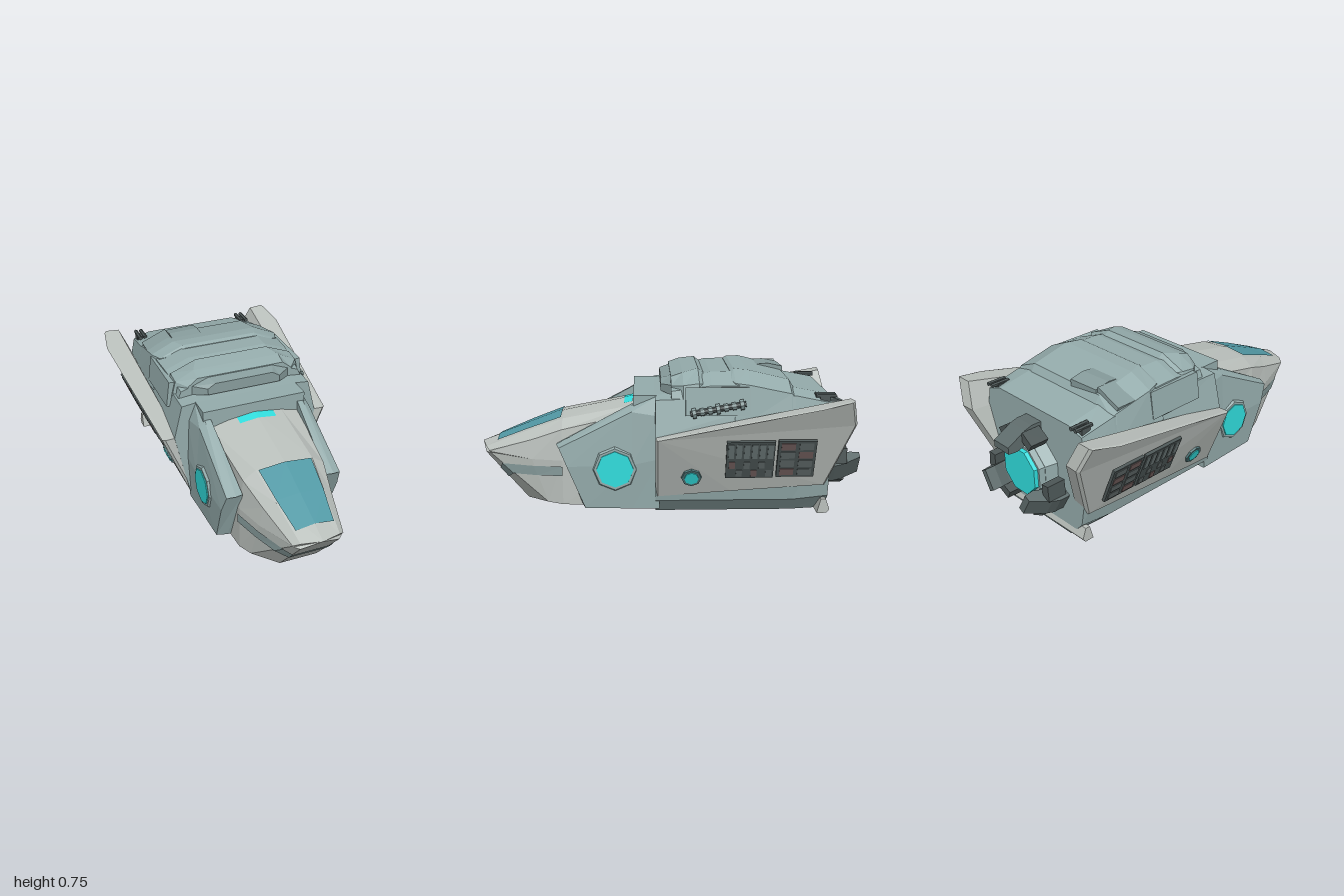
import * as THREE from 'three';

const HULL = 0x94abab, NOSE = 0xbac0bc, PLATE = 0x879c9c, DARK = 0x4d5757, CYAN = 0x30dcdc, GLASS = 0x5299a5;
const CELL = 0x626c6c, WARM = 0x735f5e;

const paint = (color, side = THREE.FrontSide) => new THREE.MeshStandardMaterial({ color, flatShading: true, side });

function add(parent, name, geometry, color, pos = [0, 0, 0], side) {
  const mesh = new THREE.Mesh(geometry, paint(color, side));
  mesh.name = name;
  mesh.position.set(...pos);
  parent.add(mesh);
  return mesh;
}

const box = (parent, name, size, pos, color) => add(parent, name, new THREE.BoxGeometry(...size), color, pos);

// Skin over rings of [x, y, z]; each ring runs clockwise seen from the first end.
function loft(rings, capped = true) {
  const n = rings[0].length, last = (rings.length - 1) * n, index = [];
  for (let i = 0; i < rings.length - 1; i++) {
    for (let j = 0; j < (capped ? n : n - 1); j++) {
      const a = i * n + j, b = i * n + (j + 1) % n;
      index.push(a, b, a + n, b, b + n, a + n);
    }
  }
  for (let j = 1; capped && j < n - 1; j++) {
    index.push(0, j + 1, j, last, last + j, last + j + 1);
  }
  const g = new THREE.BufferGeometry();
  g.setAttribute('position', new THREE.Float32BufferAttribute(rings.flat(2), 3));
  g.setIndex(index);
  const flat = g.toNonIndexed();
  flat.computeVertexNormals();
  return flat;
}

// Full ring from its +x half, listed top to bottom.
const mirror = half => [...half, ...half.filter(p => p[0] > 0).reverse().map(([x, y, z]) => [-x, y, z])];
const section = (z, pts) => mirror(pts.map(([x, y]) => [x, y, z]));

function octagon(parent, name, r0, r1, depth, pos, color) {
  const g = new THREE.CylinderGeometry(r1, r0, depth, 8).rotateZ(-Math.PI / 2);
  return add(parent, name, g, color, pos);
}

function buildNose(parent) {
  const nose = new THREE.Group();
  nose.name = 'nose';
  parent.add(nose);
  const halves = [
    [[0, .325, 1], [.1, .317, .97], [.13, .3, .95], [.13, .295, .945], [.125, .29, .945], [.1, .287, .97]],
    [[0, .415, .76], [.125, .405, .75], [.18, .37, .72], [.197, .27, .72], [.205, .04, .64], [.1, .035, .755]],
    [[0, .49, .56], [.15, .475, .56], [.215, .43, .56], [.235, .27, .56], [.235, .035, .56], [.1, .03, .56]],
    [[0, .565, .19], [.15, .545, .19], [.245, .52, .19], [.255, .27, .19], [.25, .03, .19], [.1, .03, .19]],
    [[0, .6, .04], [.15, .6, .04], [.245, .57, .04], [.255, .27, .04], [.25, .03, .04], [.1, .03, .04]],
  ];
  add(nose, 'noseShell', loft(halves.map(mirror)), NOSE);

  // Windshield and brow light
  const rows = [[.14, .477, .491, .57], [.123, .413, .424, .745], [.098, .347, .361, .91]];
  const pane = rows.map(([x, ye, yc, z]) => [[-x, ye, z], [0, yc, z], [x, ye, z]]);
  add(nose, 'windshield', loft(pane, false), GLASS, [0, .003, 0], THREE.DoubleSide);
  const light = [[-.1, .552, .195], [0, .564, .195], [.1, .552, .195]];
  add(nose, 'browLight', loft([light, light.map(([x, y]) => [x, y - .01, .24])], false), CYAN, [0, .003, 0], THREE.DoubleSide);

  // Darker stripe wrapped round the chin
  const upper = [[.1, .2, .896], [.143, .235, .878], [.199, .235, .708], [.238, .24, .555]];
  const lower = [[.1, .15, .853], [.16, .185, .819], [.201, .185, .69], [.238, .19, .555]];
  const band = half => [...[...half].reverse().map(([x, y, z]) => [-x, y, z]), ...half]
    .map(([x, y, z]) => [x * 1.02, y, z + .004]);
  add(nose, 'chinStripe', loft([band(upper), band(lower)], false), PLATE, [0, 0, 0], THREE.DoubleSide);
}

// Cheek armour beside the nose, with its round lamp
function buildCheek(side) {
  const at = (z, pts) => pts.map(([x, y]) => [x, y, z]);
  add(side, 'cheek', loft([
    [[.225, .365, .58], [.262, .365, .587], [.305, .355, .57], [.318, .26, .53], [.312, .04, .44], [.258, .04, .455], [.225, .04, .455]],
    at(.2, [[.24, .57], [.272, .568], [.305, .54], [.328, .27], [.315, .035], [.26, .035], [.24, .035]]),
    at(.06, [[.25, .62], [.28, .62], [.32, .52], [.332, .3], [.32, .035], [.26, .035], [.24, .035]]),
  ]), HULL);
  octagon(side, 'cheekLampBezel', .125, .108, .024, [.318, .248, .285], HULL);
  octagon(side, 'cheekLamp', .098, .094, .026, [.322, .248, .285], CYAN);
}

// Slanted side fin with grilles and a small lamp
function buildFin(side) {
  const outline = [[.08, .43], [-.74, .6], [-.885, .63], [-.915, .5], [-.785, .16], [-.3, .13], [.08, .1]];
  const face = y => .33 + .4 * (y - .1);
  const ring = (depth, scale) => outline.map(([z, y]) => {
    const v = .35 + (y - .35) * scale;
    const bend = Math.max(0, -.74 - z) * .25;
    return [face(v) - depth - bend, v, -.4 + (z + .4) * scale];
  });
  add(side, 'fin', loft([ring(-.003, .975), ring(.012, 1), ring(.085, .99)]), NOSE);

  const details = new THREE.Group();
  details.name = 'finDetails';
  details.position.set(face(.32), .32, 0);
  details.rotation.z = -Math.atan(.4);
  side.add(details);
  box(details, 'grilleFront', [.016, .22, .24], [0, 0, -.39], DARK);
  box(details, 'grilleRear', [.016, .22, .19], [0, .005, -.62], DARK);
  for (let i = 0; i < 6; i++) {
    box(details, 'grilleBar', [.024, .085, .028], [0, .055, -.293 - i * .039], 0x6d7a7a);
    box(details, 'grilleBlock', [.022, .04, .03], [0, -.03 - (i % 2) * .05, -.3 - i * .037], i % 3 ? CELL : WARM);
  }
  for (let i = 0; i < 8; i++) {
    box(details, 'grilleCell', [.022, .04, .07], [0, .083 - (i >> 1) * .052, -.575 - (i % 2) * .09], i % 3 ? CELL : WARM);
  }
  octagon(details, 'finLampBezel', .055, .05, .02, [.003, -.107, -.1], 0x4f7577);
  octagon(details, 'finLamp', .04, .036, .026, [.004, -.107, -.1], CYAN);
}

function buildHull(parent) {
  add(parent, 'hull', loft([
    section(.08, [[.26, .62], [.355, .61], [.4, .43], [.325, .08], [.24, 0]]),
    section(-.62, [[.26, .655], [.36, .63], [.4, .43], [.325, .08], [.24, 0]]),
    section(-.805, [[.26, .62], [.35, .59], [.385, .43], [.325, .1], [.24, .01]]),
  ]), HULL);
  box(parent, 'collar', [.56, .2, .12], [0, .52, .13], HULL);
  // Rear sill
  const sill = [[-.77, .085], [-.795, .085], [-.815, .03], [-.8, .01], [-.75, .01]];
  add(parent, 'rearSill', loft([.34, -.34].map(x => sill.map(([z, y]) => [x, y, z]))), NOSE);
}

function buildRoof(parent) {
  const roof = new THREE.Group();
  roof.name = 'roof';
  parent.add(roof);
  const part = (name, color, sections) => add(roof, name, loft(sections.map(([z, pts]) => section(z, pts))), color);
  part('roofRear', HULL, [
    [-.3, [[.2, .735], [.3, .7], [.37, .52]]],
    [-.32, [[.21, .745], [.34, .69], [.388, .51]]],
    [-.39, [[.24, .742], [.365, .685], [.392, .51]]],
    [-.6, [[.24, .692], [.36, .64], [.388, .5]]],
    [-.625, [[.24, .652], [.35, .62], [.385, .5]]],
  ]);
  part('roofMiddle', HULL, [
    [.0, [[.24, .68], [.33, .65], [.36, .58]]],
    [-.2, [[.22, .73], [.35, .68], [.38, .53]]],
    [-.34, [[.22, .733], [.355, .68], [.385, .53]]],
  ]);
  part('roofCrest', HULL, [
    [.0, [[.24, .71], [.29, .67], [.3, .6]]],
    [-.06, [[.24, .73], [.34, .68], [.36, .6]]],
    [-.14, [[.2, .745], [.34, .69], [.36, .6]]],
    [-.17, [[.2, .72], [.31, .68], [.35, .6]]],
  ]);
  part('roofVisor', PLATE, [
    [.05, [[.16, .69], [.2, .665], [.2, .63]]],
    [.0, [[.18, .705], [.27, .67], [.27, .62]]],
    [-.05, [[.18, .705], [.28, .67], [.28, .62]]],
  ]);
  for (const s of [1, -1]) {
    const panel = box(roof, 'roofSidePanel', [.03, .14, .32], [s * .366, .605, -.23], HULL);
    panel.rotation.z = s * .13;
  }
  // Vent wedge on one side only
  const wedge = [[-.4, .7], [-.46, .722], [-.53, .728], [-.61, .712], [-.61, .66], [-.4, .66]];
  add(roof, 'roofVent', loft([-.05, -.22].map((x, i) => wedge.map(([z, y]) => [x, y, z + i * .01]))), PLATE);
  const duct = box(roof, 'ventDuct', [.15, .04, .16], [-.285, .677, -.51], PLATE);
  duct.rotation.z = .4;
}

// Ringed pipe on the left flank
function buildPipe(parent) {
  const pipe = new THREE.Group();
  pipe.name = 'flankPipe';
  pipe.position.set(.394, .572, -.23);
  pipe.rotation.x = .18;
  parent.add(pipe);
  const rod = (name, r, length, z, color) =>
    add(pipe, name, new THREE.CylinderGeometry(r, r, length, 8).rotateX(Math.PI / 2), color, [0, 0, z]);
  rod('pipeCore', .015, .28, 0, DARK);
  for (let i = 0; i < 7; i++) rod('pipeRing', i % 3 ? .02 : .027, .02, -.12 + i * .04, PLATE);
}

// Rear drive: glowing octagon held by three claws
function buildDrive(parent) {
  const drive = new THREE.Group();
  drive.name = 'drive';
  drive.position.set(0, .31, -.8);
  parent.add(drive);
  const disc = (name, r0, r1, depth, z, color) => add(drive, name,
    new THREE.CylinderGeometry(r0, r1, depth, 8).rotateY(Math.PI / 8).rotateX(Math.PI / 2), color, [0, 0, z]);
  disc('driveHousing', .18, .15, .06, -.03, HULL);
  disc('driveRing', .15, .14, .04, -.07, HULL);
  disc('driveGlow', .13, .125, .03, -.095, CYAN);

  // Claw outline as [z, radius], extruded across its width
  const profile = [[0, .17], [0, .25], [-.06, .25], [-.1, .238], [-.2, .185], [-.2, .15], [-.15, .145], [-.09, .165]];
  const shape = new THREE.Shape(profile.map(([z, r]) => new THREE.Vector2(z, r)));
  for (let i = 0; i < 3; i++) {
    const claw = new THREE.Group();
    claw.name = 'claw';
    claw.rotation.z = i * Math.PI * 2 / 3;
    drive.add(claw);
    const arm = new THREE.ExtrudeGeometry(shape, { depth: .11, bevelEnabled: false });
    add(claw, 'clawArm', arm.translate(0, 0, -.055).rotateY(-Math.PI / 2), 0x5f6c6c);
    for (const s of [1, -1]) {
      const wing = box(claw, 'clawWing', [.08, .045, .1], [s * .08, .195, -.07], DARK);
      wing.rotation.z = -s * .6;
    }
  }
}

// Small sensor clusters on the rear roof corners
function buildSensor(side) {
  box(side, 'sensorBase', [.055, .03, .05], [.315, .61, -.77], DARK);
  for (const x of [.3, .33]) {
    add(side, 'sensorBarrel', new THREE.CylinderGeometry(.011, .011, .1, 6).rotateX(Math.PI / 2), DARK, [x, .625, -.775]);
  }
}

export function createModel() {
  const model = new THREE.Group();
  model.name = 'spacecraft';
  buildNose(model);
  buildHull(model);
  buildRoof(model);
  buildPipe(model);
  buildDrive(model);
  for (const s of [1, -1]) {
    const side = new THREE.Group();
    side.name = s > 0 ? 'leftSide' : 'rightSide';
    side.scale.x = s;
    buildCheek(side);
    buildFin(side);
    buildSensor(side);
    model.add(side);
  }
  return model;
}
